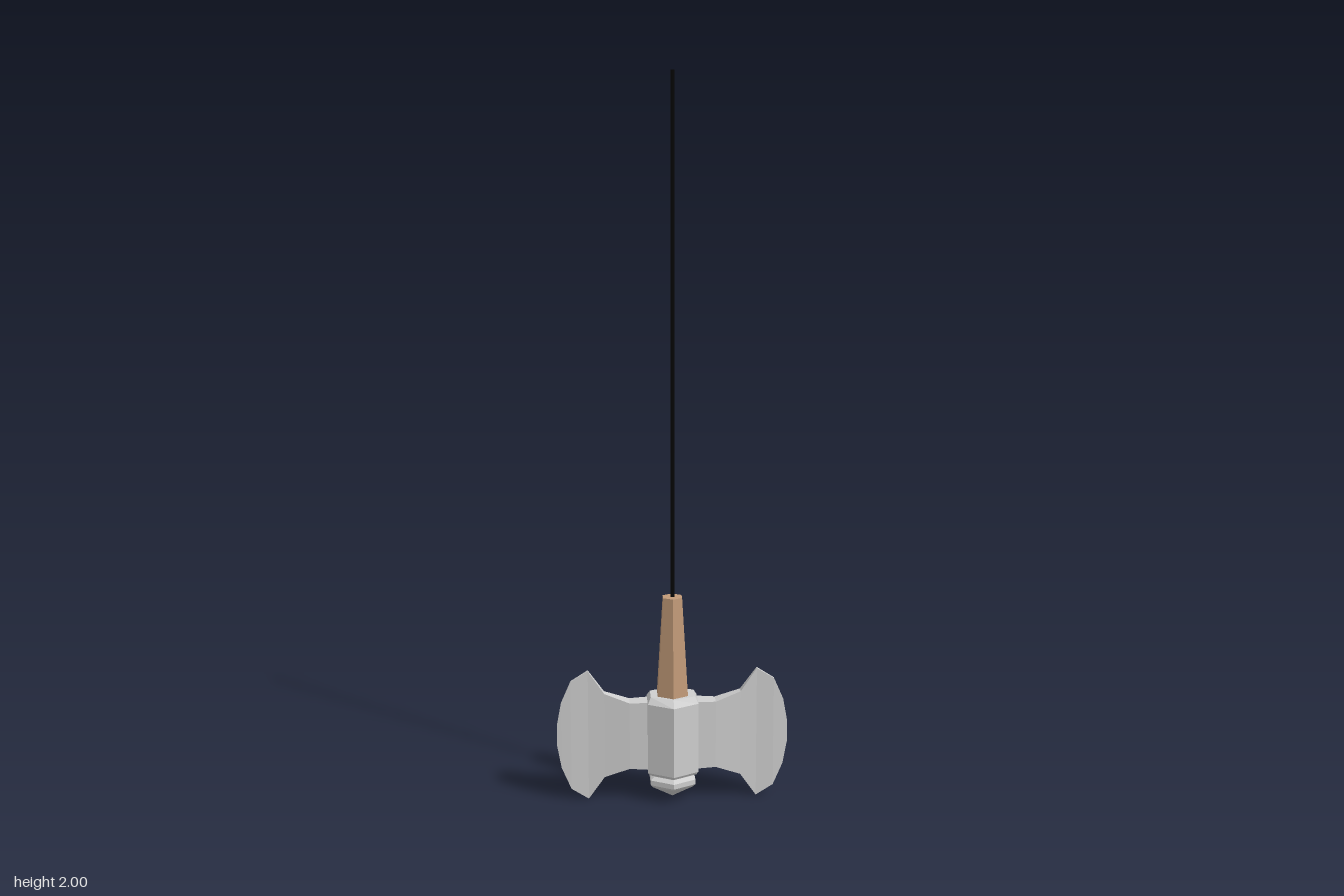
import * as THREE from 'three';

const steel = new THREE.MeshStandardMaterial({ color: 0xcecece });
steel.name = 'steel';
const wood = new THREE.MeshStandardMaterial({ color: 0xc19a78 });
wood.name = 'wood';
const black = new THREE.MeshStandardMaterial({ color: 0x050505 });
black.name = 'black';

// Faceted mesh: every face keeps its own normal
function facetedMesh(name, geometry, material) {
  const flat = geometry.toNonIndexed();
  flat.computeVertexNormals();
  const mesh = new THREE.Mesh(flat, material);
  mesh.name = name;
  return mesh;
}

// Six-sided turned shape from [radius, y] points, bottom to top
function hexTurned(profile) {
  return new THREE.LatheGeometry(profile.map(([r, y]) => new THREE.Vector2(r, y)), 6);
}

// Blade lofted along +x through rectangular sections: [x, half height, half thickness, z centre]
function bladeGeometry(sections, yCentre, zSign) {
  const positions = [];
  const index = [];
  for (const [x, h, t, z] of sections) {
    const c = z * zSign;
    positions.push(x, yCentre - h, c + t, x, yCentre - h, c - t);
    positions.push(x, yCentre + h, c - t, x, yCentre + h, c + t);
  }
  for (let i = 0; i < sections.length - 1; i++) {
    for (let j = 0; j < 4; j++) {
      const a = i * 4 + j, b = i * 4 + (j + 1) % 4;
      index.push(a, b + 4, a + 4, a, b, b + 4);
    }
  }
  // End caps
  const e = (sections.length - 1) * 4;
  index.push(0, 2, 1, 0, 3, 2, e, e + 1, e + 2, e, e + 2, e + 3);
  const geometry = new THREE.BufferGeometry();
  geometry.setAttribute('position', new THREE.Float32BufferAttribute(positions, 3));
  geometry.setIndex(index);
  return geometry;
}

export function createModel() {
  const axe = new THREE.Group();
  axe.name = 'doubleAxe';

  // Thin black rod above the grip, with a steel top face
  const rodShape = new THREE.CylinderGeometry(0.006, 0.006, 1.42, 6);
  const rod = facetedMesh('rod', rodShape, [black, steel, black]);
  rod.position.y = 1.29;
  axe.add(rod);

  // Tapered wooden grip
  const grip = facetedMesh('grip', new THREE.CylinderGeometry(0.03, 0.049, 0.29, 6), wood);
  grip.position.y = 0.44;
  axe.add(grip);

  // Hexagonal socket; its top bevel is deeper towards front and back
  const socket = hexTurned([
    [0, 0.08], [0.075, 0.08], [0.081, 0.088], [0.081, 0.288], [0.071, 0.305], [0, 0.305],
  ]);
  const p = socket.attributes.position;
  for (let i = 0; i < p.count; i++) {
    if (p.getY(i) > 0.3) p.setZ(i, p.getZ(i) * 0.78);
  }
  axe.add(facetedMesh('socket', socket, steel));

  // Pointed end cap under the socket
  axe.add(facetedMesh('endCap', hexTurned([
    [0, 0.003], [0.064, 0.042], [0.072, 0.05], [0.072, 0.064], [0.06, 0.073], [0.06, 0.082],
  ]), steel));

  // Two flared blades, the right one turned half round
  const sections = [
    [0.04, 0.099, 0.029, 0], [0.07, 0.098, 0.026, 0], [0.12, 0.096, 0.022, 0],
    [0.19, 0.122, 0.012, 0.001], [0.235, 0.187, 0.005, 0.003], [0.283, 0.157, 0.004, 0.004],
    [0.31, 0.095, 0.002, 0.004], [0.322, 0.03, 0.001, 0.004],
  ];
  for (const [name, side] of [['leftBlade', 1], ['rightBlade', -1]]) {
    const blade = facetedMesh(name, bladeGeometry(sections, 0.19, side), steel);
    blade.rotation.y = side > 0 ? 0 : Math.PI;
    axe.add(blade);
  }
  return axe;
}
